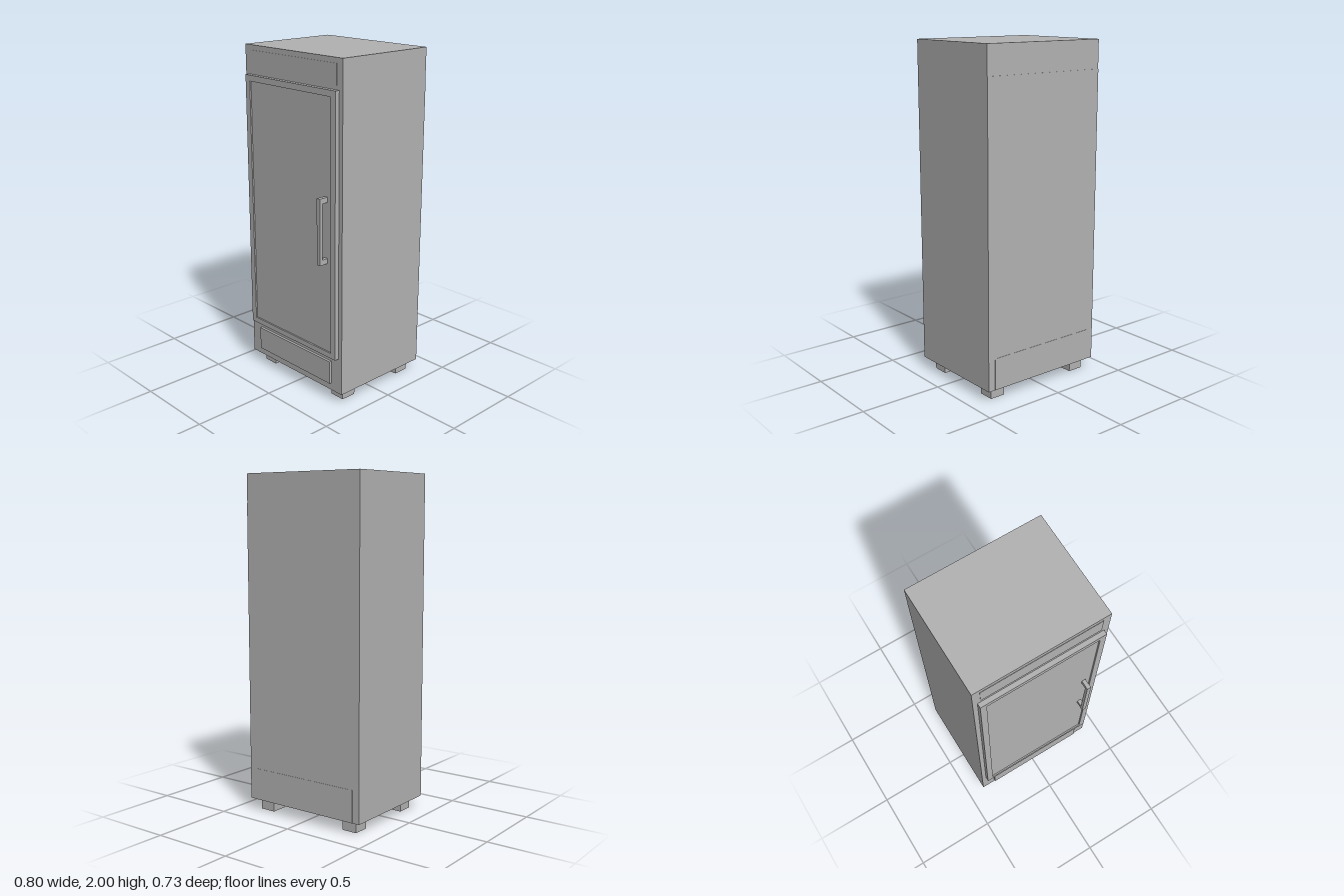
import * as THREE from 'three';

const grey = new THREE.MeshStandardMaterial({ color: 0xb2b2b2 });
grey.name = 'grey';

// Box given by its lower and upper limits on each axis
function box(name, [x0, x1], [y0, y1], [z0, z1]) {
  const mesh = new THREE.Mesh(new THREE.BoxGeometry(x1 - x0, y1 - y0, z1 - z0), grey);
  mesh.position.set((x0 + x1) / 2, (y0 + y1) / 2, (z0 + z1) / 2);
  mesh.name = name;
  return mesh;
}

function createDoor() {
  const door = new THREE.Group();
  door.name = 'door';

  // Raised frame around a shallow recessed panel
  const w = 0.373, y0 = 0.29, y1 = 1.832;
  const frame = new THREE.Shape([
    new THREE.Vector2(-w, y0), new THREE.Vector2(w, y0),
    new THREE.Vector2(w, y1), new THREE.Vector2(-w, y1),
  ]);
  frame.holes.push(new THREE.Path([
    new THREE.Vector2(-0.336, 0.322), new THREE.Vector2(-0.336, 1.797),
    new THREE.Vector2(0.336, 1.797), new THREE.Vector2(0.336, 0.322),
  ]));
  const doorFrame = new THREE.Mesh(
    new THREE.ExtrudeGeometry(frame, { depth: 0.027, bevelEnabled: false }), grey);
  doorFrame.position.z = 0.286;
  doorFrame.name = 'doorFrame';
  door.add(doorFrame, box('doorPanel', [-0.336, 0.336], [0.322, 1.797], [0.286, 0.304]));

  // Bracket handle: upright bar on two posts
  const handle = new THREE.Group();
  handle.name = 'handle';
  handle.add(box('handleBar', [0.279, 0.304], [0.86, 1.245], [0.342, 0.362]));
  for (const y of [0.86, 1.215]) {
    handle.add(box('handlePost', [0.28, 0.303], [y, y + 0.03], [0.304, 0.342]));
  }
  door.add(handle);
  return door;
}

export function createModel() {
  const model = new THREE.Group();
  model.name = 'refrigerator';

  // Cabinet with thin cover plates on front and back
  model.add(
    box('cabinet', [-0.4, 0.4], [0.07, 2], [-0.36, 0.286]),
    box('topFrontPlate', [-0.355, 0.355], [1.855, 1.97], [0.285, 0.288]),
    box('backPanel', [-0.4, 0.4], [0.07, 1.832], [-0.362, -0.359]),
    box('lowerBackPanel', [-0.355, 0.355], [0.07, 0.26], [-0.3635, -0.361]),
    box('kickPanel', [-0.315, 0.315], [0.115, 0.255], [0.285, 0.301]),
    createDoor(),
  );

  // Four square feet
  for (const x of [-0.304, 0.304]) {
    for (const z of [-0.273, 0.182]) {
      model.add(box('foot', [x - 0.048, x + 0.048], [0, 0.072], [z - 0.048, z + 0.048]));
    }
  }
  return model;
}
